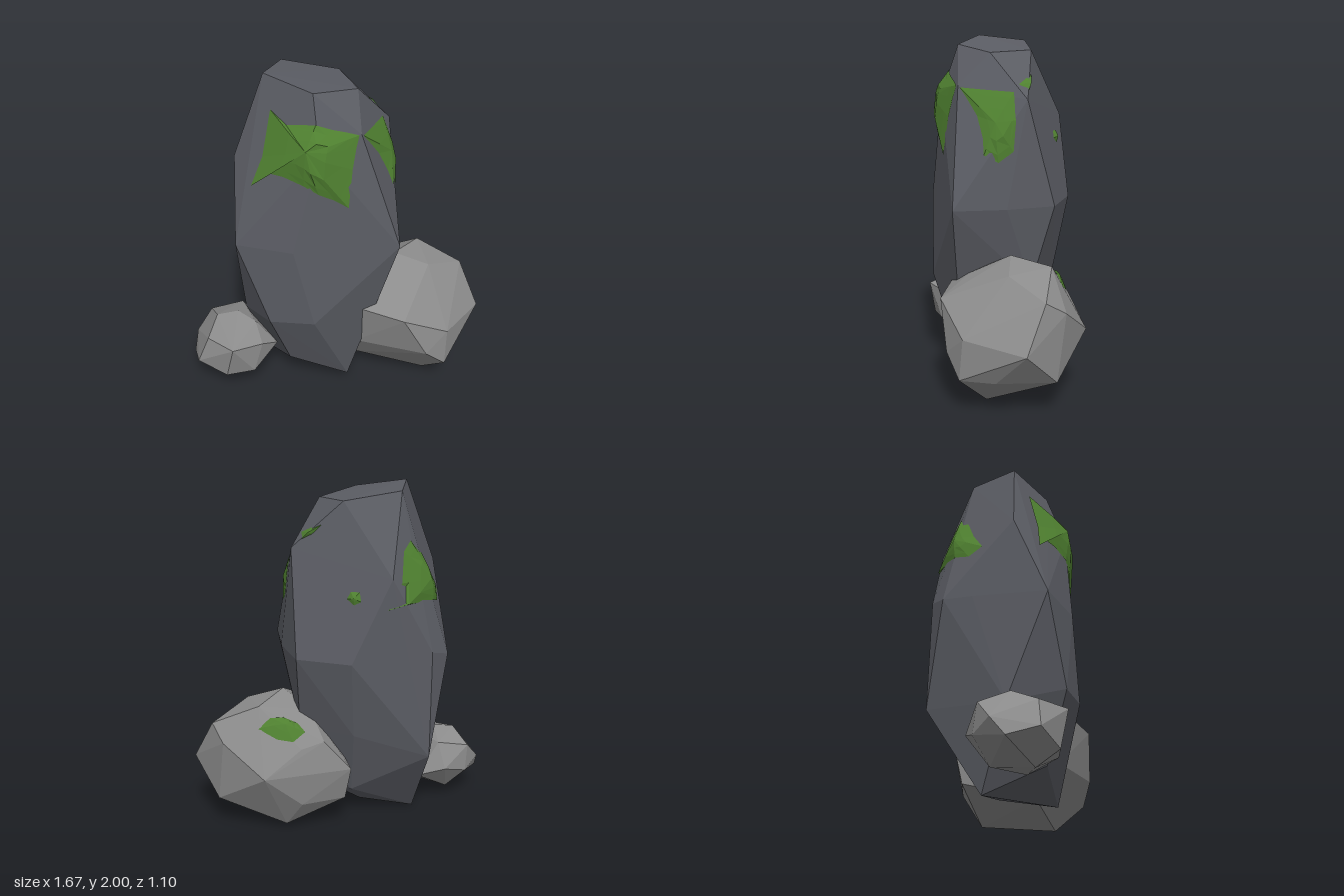
import * as THREE from 'three';
import { ConvexGeometry } from 'three/addons/geometries/ConvexGeometry.js';

const paint = (color, extra = {}) => new THREE.MeshStandardMaterial({ color, flatShading: true, ...extra });

// A faceted stone: the hull of a few corner points
function stone(name, corners, material) {
  const mesh = new THREE.Mesh(new ConvexGeometry(corners.map(c => new THREE.Vector3(...c))), material);
  mesh.name = name;
  mesh.updateMatrixWorld();
  return mesh;
}

// Maps patch coordinates (u, v) to a ray start, one for each side of a stone
const sides = {
  front: { dir: [0, 0, -1], at: (u, v) => [u, v, 3] },
  back: { dir: [0, 0, 1], at: (u, v) => [u, v, -3] },
  left: { dir: [-1, 0, 0], at: (u, v) => [3, v, u] },
  right: { dir: [1, 0, 0], at: (u, v) => [-3, v, u] },
  top: { dir: [0, -1, 0], at: (u, v) => [u, 3, v] },
};

// A ragged moss patch draped over a stone and thickest at its centre
function moss(name, target, side, center, outline, thickness, material) {
  const { dir, at } = sides[side];
  const toStone = new THREE.Vector3(...dir), ray = new THREE.Raycaster();
  const mix = (p, k) => [center[0] + (p[0] - center[0]) * k, center[1] + (p[1] - center[1]) * k];
  // Points that miss the stone are drawn in towards the centre
  const drape = (p, lift) => {
    for (let k = 1; k >= 0; k -= 0.05) {
      ray.set(new THREE.Vector3(...at(...mix(p, k))), toStone);
      const hit = ray.intersectObject(target)[0];
      if (hit) return hit.point.addScaledVector(toStone, -lift).toArray();
    }
    throw new Error(name + ' misses its stone');
  };
  const rings = [[0, 1], [0.45, 0.65], [0.8, 0.3], [1, 0.1]];
  const pos = [], index = [], n = outline.length;
  rings.forEach(([k, h]) => outline.forEach(p => pos.push(...drape(mix(p, k), h * thickness))));
  for (let r = 0; r < rings.length - 1; r++) {
    for (let i = 0; i < n; i++) {
      const a = r * n + i, b = r * n + (i + 1) % n;
      if (r > 0) index.push(a, b, a + n);
      index.push(b, b + n, a + n);
    }
  }
  const geo = new THREE.BufferGeometry();
  geo.setAttribute('position', new THREE.Float32BufferAttribute(pos, 3));
  geo.setIndex(index);
  geo.computeVertexNormals();
  const mesh = new THREE.Mesh(geo, material);
  mesh.name = name;
  return mesh;
}

export function createModel() {
  const group = new THREE.Group();
  group.name = 'mossyRocks';
  const darkStone = paint(0x5a5c63), greyStone = paint(0x8c8c8c);
  const green = paint(0x4f8030, { side: THREE.DoubleSide });

  // Tall standing rock, from the crown down
  const tall = stone('tallRock', [
    [-0.36, 2, 0.18], [-0.36, 1.97, -0.1], [-0.05, 1.92, -0.18], [0.12, 1.91, 0.03], [-0.06, 1.95, 0.25],
    [0.24, 1.66, -0.2], [0.19, 1.73, 0.2], [0, 1.66, 0.34], [-0.34, 1.53, -0.32], [-0.52, 1.53, 0.26],
    [-0.64, 1.06, -0.11], [-0.56, 1.1, -0.23], [-0.13, 1.06, -0.4], [0.19, 1.06, -0.35], [0.33, 1.06, -0.1],
    [0.42, 1.06, 0.19], [-0.13, 1.06, 0.43], [-0.47, 1.06, 0.44], [-0.6, 1.06, 0.05],
    [-0.56, 0.47, -0.24], [-0.53, 0.45, 0.22], [-0.28, 0.56, 0.45], [-0.02, 0.57, 0.41],
    [0.22, 0.6, 0.2], [0.2, 0.6, -0.22], [-0.13, 0.6, -0.31],
    [-0.45, 0, 0.04], [-0.22, 0.18, 0.3], [0.12, 0.05, 0.2], [-0.13, 0.06, -0.03], [-0.1, 0.2, -0.19], [0.1, 0.2, -0.1],
  ], darkStone);

  // Boulder leaning on one side, running in behind the tall rock
  const boulder = stone('boulder', [
    [0.32, 0.8, -0.12], [0.41, 0.77, -0.36], [0.69, 0.65, -0.36], [0.53, 0.74, -0.14], [0.3, 0.68, 0.12],
    [0.34, 0.4, -0.55], [0.6, 0.57, -0.46], [0.83, 0.4, -0.28], [0.71, 0.43, 0.08], [0.48, 0.58, 0.25],
    [0.21, 0.61, 0.24], [0.71, 0.2, 0.1], [0.61, 0.32, 0.19], [0.17, 0.32, 0.19], [0.14, 0.7, -0.2],
    [0.03, 0.58, -0.37], [0.15, 0.55, -0.43],
    [-0.12, 0.4, -0.33], [-0.08, 0.2, -0.3], [0.15, 0.2, -0.43], [0.65, 0.2, -0.42], [0.72, 0.2, -0.1],
    [0.13, 0.12, 0.06], [0.26, 0.03, -0.36], [0.55, 0.03, -0.02],
  ], greyStone);

  // Small rock at the other foot
  const small = stone('smallRock', [
    [-0.84, 0.25, 0.3], [-0.83, 0.15, 0.38], [-0.74, 0.2, 0.52], [-0.49, 0.36, 0.55], [-0.55, 0.14, 0.53],
    [-0.6, 0.05, 0.42], [-0.45, 0.07, 0.3], [-0.65, 0.07, 0.2], [-0.31, 0.26, 0.28], [-0.36, 0.33, 0.4],
    [-0.44, 0.41, 0.3], [-0.56, 0.45, 0.28], [-0.68, 0.43, 0.33], [-0.78, 0.36, 0.2], [-0.77, 0.2, 0.17],
    [-0.65, 0.25, 0.06], [-0.48, 0.2, 0.05], [-0.6, 0.4, 0.12], [-0.68, 0.36, 0.48], [-0.4, 0.15, 0.45],
  ], greyStone);
  group.add(tall, boulder, small);

  // Moss patches
  group.add(
    moss('frontMoss', tall, 'front', [-0.06, 1.68], [
      [-0.3, 1.83], [-0.2, 1.77], [-0.03, 1.8], [0.05, 1.77], [0.12, 1.75], [0.18, 1.73], [0.17, 1.66], [0.16, 1.55],
      [0.15, 1.33], [0.08, 1.38], [0, 1.42], [-0.08, 1.47], [-0.2, 1.5], [-0.3, 1.5], [-0.39, 1.41], [-0.33, 1.58],
    ], 0.06, green),
    moss('leftMoss', tall, 'left', [-0.03, 1.54], [
      [0.19, 1.72], [0.05, 1.71], [-0.12, 1.7], [-0.14, 1.55], [-0.13, 1.38], [-0.05, 1.32],
      [0.03, 1.36], [0.04, 1.45], [0.08, 1.57], [0.15, 1.67],
    ], 0.03, green),
    moss('rightMoss', tall, 'right', [-0.12, 1.5], [
      [-0.15, 1.71], [-0.06, 1.62], [0, 1.5], [0.08, 1.39], [0, 1.34], [-0.1, 1.37],
      [-0.33, 1.36], [-0.28, 1.5], [-0.21, 1.66],
    ], 0.04, green),
    moss('backMossSpot', tall, 'back', [-0.13, 1.42], [
      [-0.16, 1.45], [-0.11, 1.45], [-0.09, 1.41], [-0.13, 1.38], [-0.17, 1.4],
    ], 0.02, green),
    moss('backMossSliver', tall, 'back', [0.14, 1.75], [
      [0.07, 1.79], [0.13, 1.77], [0.19, 1.74], [0.18, 1.71], [0.12, 1.74],
    ], 0.015, green),
    moss('boulderMoss', boulder, 'top', [0.25, -0.39], [
      [0.14, -0.37], [0.2, -0.42], [0.29, -0.43], [0.4, -0.42], [0.34, -0.38], [0.27, -0.35], [0.19, -0.34],
    ], 0.03, green),
  );
  return group;
}
